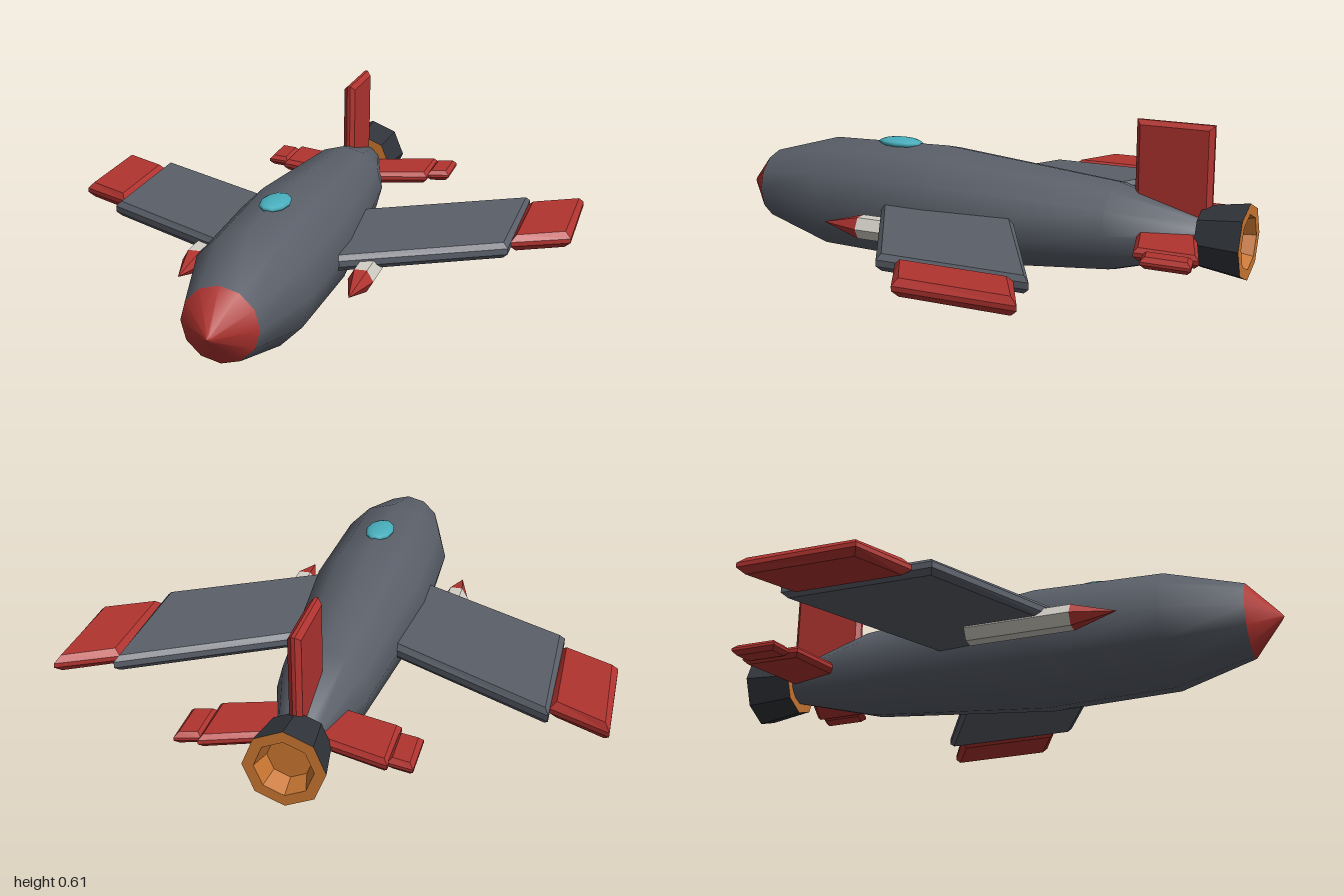
import * as THREE from 'three';

const AXIS_Y = 0.222; // height of the fuselage axis

const paint = (color, flat = false) =>
  new THREE.MeshStandardMaterial({ color, flatShading: flat });

const grey = paint(0x5a5f69);
const greyFlat = paint(0x5a5f69, true);
const red = paint(0xb23430);
const redFlat = paint(0xb23430, true);
const white = paint(0xd2cfc6, true);
const dark = paint(0x30343a, true);
const orange = paint(0xc87530, true);
const teal = paint(0x48aebc);

function add(parent, name, geometry, material, x = 0, y = 0, z = 0) {
  const mesh = new THREE.Mesh(geometry, material);
  mesh.name = name;
  mesh.position.set(x, y, z);
  parent.add(mesh);
  return mesh;
}

// Body of revolution along z; profile is [radius, z] from rear to front
function turned(profile, sides) {
  const points = profile.map(([r, z]) => new THREE.Vector2(r, z));
  return new THREE.LatheGeometry(points, sides).rotateX(Math.PI / 2);
}

// Bevelled plate whose outermost outline is the given corners, centred on its thickness
function plate(corners, thickness, bevel) {
  const shape = new THREE.Shape(corners.map(([a, b]) => new THREE.Vector2(a, b)));
  const depth = thickness - 2 * bevel;
  return new THREE.ExtrudeGeometry(shape, {
    depth,
    bevelEnabled: true,
    bevelSize: bevel,
    bevelThickness: bevel,
    bevelOffset: -bevel,
    bevelSegments: 1,
  }).translate(0, 0, -depth / 2);
}

// Horizontal plate from [x, z] corners, mirrored by side
const flatPlate = (side, corners, thickness, bevel) =>
  plate(corners.map(([x, z]) => [side * x, z]), thickness, bevel).rotateX(Math.PI / 2);

export function createModel() {
  const model = new THREE.Group();
  model.name = 'jet';

  // Fuselage and nose
  add(model, 'fuselage', turned(
    [[0, -0.85], [0.07, -0.85], [0.16, -0.53], [0.222, 0.14], [0.21, 0.61], [0.132, 0.885]], 12),
    grey, 0, AXIS_Y);
  add(model, 'noseCone', turned([[0.132, 0.885], [0.014, 0.99], [0, 1]], 12), red, 0, AXIS_Y);

  // Canopy
  const canopy = add(model, 'canopy', new THREE.SphereGeometry(1, 10, 8), teal, 0, 0.438, 0.335);
  canopy.scale.set(0.053, 0.019, 0.09);

  // Exhaust nozzle: flared shell, glowing cup and front collar
  const nozzle = new THREE.Group();
  nozzle.name = 'nozzle';
  nozzle.position.y = AXIS_Y;
  model.add(nozzle);
  add(nozzle, 'nozzleShell', turned([[0.135, -1], [0.11, -0.84]], 8), dark);
  add(nozzle, 'nozzleCup', turned([[0, -0.93], [0.075, -0.93], [0.097, -1], [0.135, -1]], 8), orange);
  add(nozzle, 'nozzleCollar', turned([[0.11, -0.84], [0, -0.84]], 8), orange);

  // Upright fin
  add(model, 'tailFin',
    plate([[-0.87, 0.24], [-0.595, 0.24], [-0.595, 0.61], [-0.87, 0.61]], 0.044, 0.016)
      .rotateY(-Math.PI / 2), redFlat);

  for (const side of [1, -1]) {
    const label = side > 0 ? 'left' : 'right';

    // Swept wing with separate tip
    add(model, label + 'Wing', flatPlate(side,
      [[0.05, 0.39], [0.752, 0.01], [0.752, -0.525], [0.05, -0.14]], 0.058, 0.018),
      greyFlat, 0, AXIS_Y);
    add(model, label + 'WingTip', flatPlate(side,
      [[0.75, -0.06], [0.952, -0.16], [0.952, -0.577], [0.75, -0.473]], 0.06, 0.022),
      redFlat, 0, AXIS_Y);

    // Tailplane with separate tip
    add(model, label + 'Tailplane', flatPlate(side,
      [[0.02, -0.615], [0.305, -0.697], [0.305, -0.92], [0.02, -0.825]], 0.044, 0.015),
      redFlat, 0, AXIS_Y);
    add(model, label + 'TailplaneTip', flatPlate(side,
      [[0.3, -0.73], [0.386, -0.748], [0.386, -0.92], [0.3, -0.9]], 0.04, 0.015),
      redFlat, 0, AXIS_Y);

    // Missile under the wing: hexagonal body and pointed tip
    const missile = new THREE.Group();
    missile.name = label + 'Missile';
    missile.position.set(side * 0.303, 0.187, 0);
    missile.rotation.z = Math.PI / 6;
    model.add(missile);
    add(missile, 'missileBody', turned([[0, -0.04], [0.045, -0.04], [0.045, 0.335]], 6), white);
    add(missile, 'missileTip', turned([[0.045, 0.335], [0, 0.49]], 6), redFlat);
  }

  return model;
}
